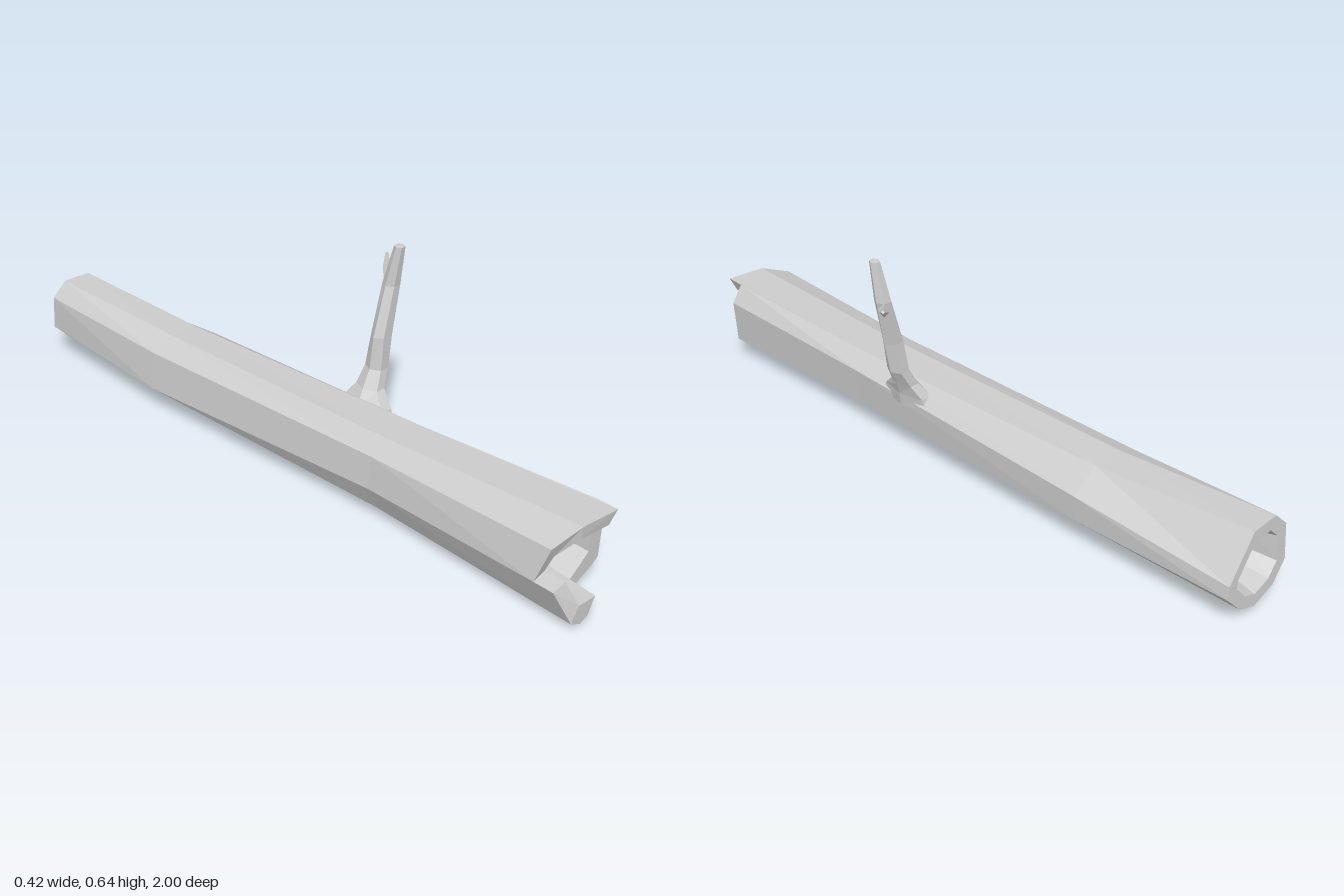
import * as THREE from 'three';

const material = new THREE.MeshStandardMaterial({ color: 0xcccccc, flatShading: true });

// Skin a list of rings (equal point counts), closing both ends with fans.
function loft(name, rings) {
  const pos = [];
  const tri = (a, b, c) => {
    const n = new THREE.Vector3().subVectors(b, a).cross(new THREE.Vector3().subVectors(c, a));
    if (n.length() > 1e-8) pos.push(...a.toArray(), ...b.toArray(), ...c.toArray());
  };
  const centre = (r) => r.reduce((s, p) => s.add(p), new THREE.Vector3()).divideScalar(r.length);
  const n = rings[0].length;
  const first = rings[0], last = rings[rings.length - 1];
  const c0 = centre(first), c1 = centre(last);
  for (let i = 0; i < n; i++) {
    const j = (i + 1) % n;
    tri(c0, first[j], first[i]);
    tri(c1, last[i], last[j]);
    for (let k = 0; k + 1 < rings.length; k++) {
      const a = rings[k], b = rings[k + 1];
      tri(a[i], a[j], b[j]);
      tri(a[i], b[j], b[i]);
    }
  }
  const geo = new THREE.BufferGeometry();
  geo.setAttribute('position', new THREE.Float32BufferAttribute(pos, 3));
  geo.computeVertexNormals();
  const mesh = new THREE.Mesh(geo, material);
  mesh.name = name;
  return mesh;
}

const V = (p, z) => new THREE.Vector3(p[0], p[1], z ?? p[2]);

// Nine-sided log sections become thirteen points to meet the broken front rim.
const spread = [0, 0, 0, 1, 2, 3, 4, 4, 5, 6, 7, 7, 8];
const section = (z, pts) => spread.map((i) => V(pts[i], z));
const shrink = (pts, s, cx, cy) => pts.map(([x, y]) => [cx + (x - cx) * s, cy + (y - cy) * s]);

function buildLog() {
  const back = [[-0.07, 0.025], [-0.01, 0.047], [0.04, 0.1], [0.035, 0.137], [-0.065, 0.247],
    [-0.155, 0.25], [-0.2, 0.205], [-0.2, 0.1], [-0.15, 0.048]];
  const rear = [[-0.08, 0.03], [-0.01, 0.045], [0.045, 0.09], [0.047, 0.165], [-0.035, 0.222],
    [-0.13, 0.228], [-0.2, 0.195], [-0.212, 0.08], [-0.16, 0.04]];
  const middle = [[-0.11, 0.03], [0, 0.05], [0.038, 0.08], [0.047, 0.19], [0, 0.23],
    [-0.11, 0.23], [-0.175, 0.205], [-0.185, 0.11], [-0.15, 0.035]];
  // Front rim: jagged, with a long lower tooth and a shorter upper one.
  const rim = [[-0.13, 0, 1], [-0.1, 0.01, 1], [-0.1, 0.01, 0.92], [0.02, 0.053, 0.92],
    [0.045, 0.067, 0.92], [0.055, 0.2, 0.92], [0.02, 0.252, 0.92], [0.018, 0.252, 0.98],
    [-0.1, 0.252, 0.965], [-0.188, 0.218, 0.94], [-0.208, 0.12, 0.91], [-0.21, 0.12, 0.97],
    [-0.168, 0.02, 1]];
  const hollow = [[-0.11, 0.057, 1], [-0.075, 0.055, 1], [-0.075, 0.055, 0.92], [-0.03, 0.083, 0.92],
    [0.002, 0.105, 0.92], [0.003, 0.18, 0.92], [0.002, 0.21, 0.92], [0, 0.21, 0.97],
    [-0.1, 0.213, 0.96], [-0.16, 0.18, 0.93], [-0.165, 0.13, 0.91], [-0.165, 0.13, 0.97],
    [-0.14, 0.06, 1]];
  const floor = shrink(hollow, 0.88, -0.02, 0.15).map((p) => V(p, 0.84));
  // Slight slant of the cut back end: the foot reaches further back than the top.
  const slant = (ring) => ring.map((p) => p.setZ(p.z + (p.y - 0.025) * 0.09));
  return loft('log', [
    section(-0.91, shrink(back, 0.56, -0.08, 0.14)),
    slant(section(-1, shrink(back, 0.7, -0.08, 0.14))),
    slant(section(-1, back)),
    section(-0.5, rear),
    section(0.35, middle),
    rim.map((p) => V(p)),
    hollow.map((p) => V(p)),
    floor,
  ]);
}

// Rings of an ellipse along stations [x, y, z, ru, rv], spanned by axes u and v.
function limbRings(stations, sides, u, v) {
  return stations.map(([x, y, z, ru, rv]) => Array.from({ length: sides }, (_, i) => {
    const a = (i / sides) * Math.PI * 2;
    return new THREE.Vector3(x, y, z)
      .addScaledVector(u, Math.cos(a) * ru)
      .addScaledVector(v, Math.sin(a) * rv);
  }));
}

export function createModel() {
  const group = new THREE.Group();
  group.name = 'fallenLog';
  group.add(buildLog());

  // Branch with a flared foot sunk into the log
  const x = new THREE.Vector3(1, 0, 0), back = new THREE.Vector3(0, 0, -1);
  group.add(loft('branch', limbRings([
    [0.018, 0.165, 0.148, 0.037, 0.1],
    [0.024, 0.205, 0.148, 0.037, 0.085],
    [0.045, 0.245, 0.14, 0.03, 0.045],
    [0.072, 0.295, 0.138, 0.029, 0.034],
    [0.085, 0.39, 0.142, 0.033, 0.027],
    [0.122, 0.53, 0.14, 0.024, 0.025],
    [0.13, 0.645, 0.16, 0.015, 0.016],
  ], 6, x, back)));

  // Small side twig
  const dir = new THREE.Vector3(0.58, 0.42, -0.58).normalize();
  const u = new THREE.Vector3(1, 0, 1).normalize();
  const v = new THREE.Vector3().crossVectors(dir, u);
  group.add(loft('twig', limbRings([
    [0.125, 0.51, 0.135, 0.016, 0.02],
    [0.15, 0.518, 0.105, 0.013, 0.015],
    [0.175, 0.538, 0.073, 0.01, 0.011],
    [0.207, 0.562, 0.046, 0.005, 0.005],
  ], 4, u, v)));
  return group;
}
